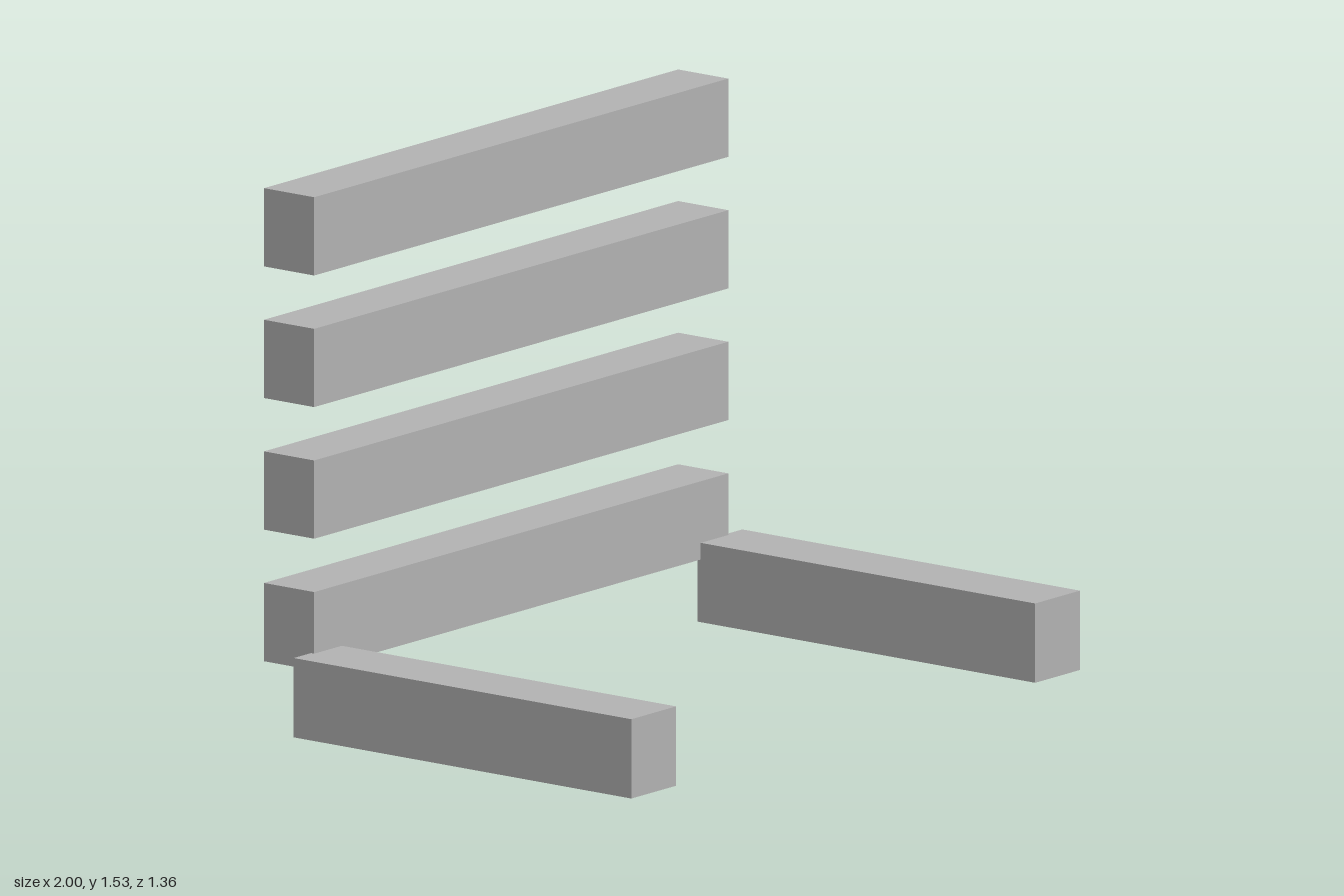
import * as THREE from 'three';

export function createModel() {
  const model = new THREE.Group();
  model.name = 'slattedRack';
  const grey = new THREE.MeshStandardMaterial({ color: 0xb2b2b2 });
  grey.name = 'grey';

  const addBeam = (name, size, position) => {
    const beam = new THREE.Mesh(new THREE.BoxGeometry(...size), grey);
    beam.name = name;
    beam.position.set(...position);
    model.add(beam);
  };

  // Two floor runners reaching forward
  for (const [name, side] of [['leftRunner', 1], ['rightRunner', -1]]) {
    addBeam(name, [0.2, 0.226, 1.197], [side * 0.9, 0.113, 0.083]);
  }

  // Four evenly spaced back slats
  for (let i = 0; i < 4; i++) {
    addBeam(`backSlat${i + 1}`, [1.846, 0.223, 0.178], [0, 0.29 + i * 0.375, -0.593]);
  }

  return model;
}
